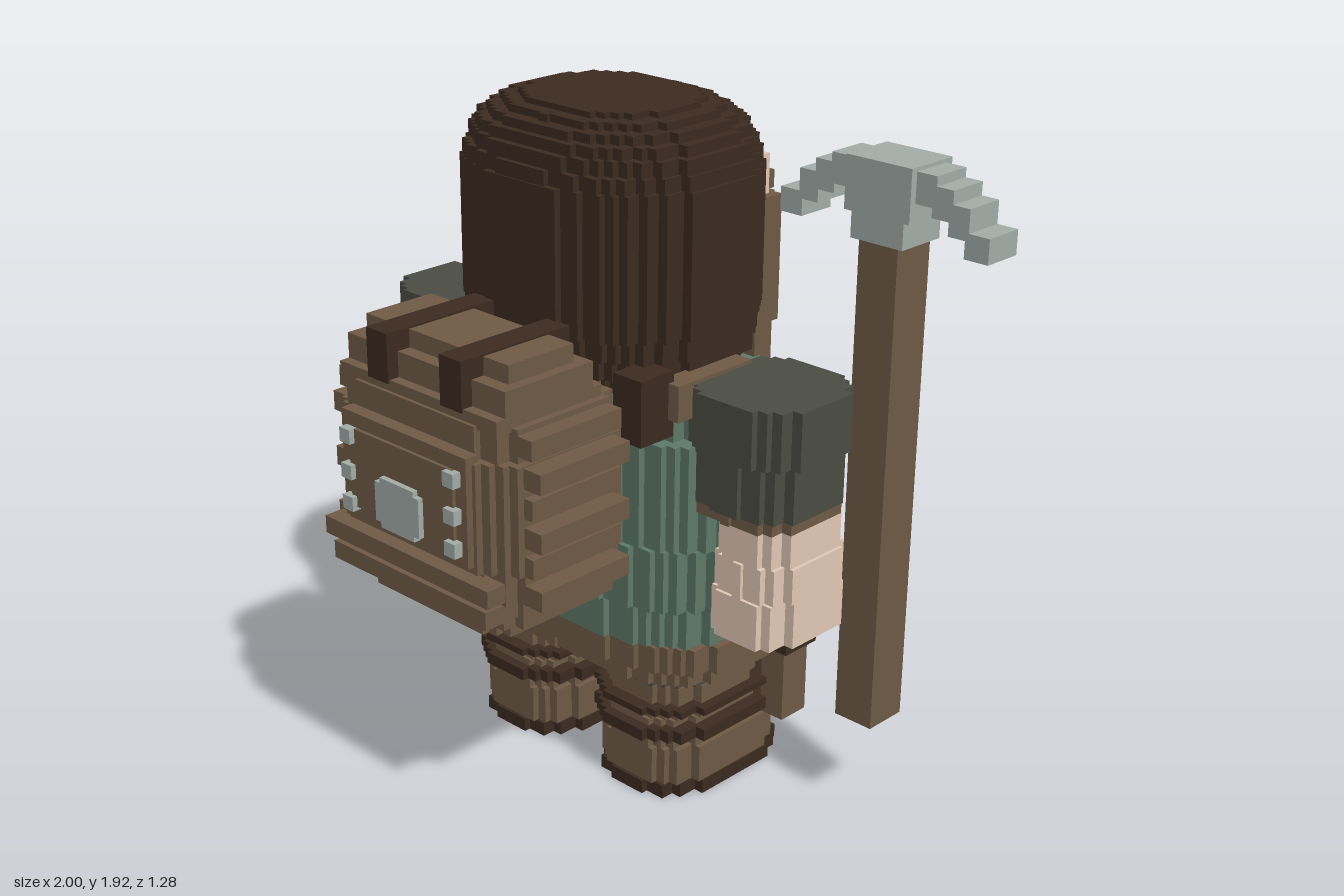
import * as THREE from 'three';
import { mergeGeometries } from 'three/addons/utils/BufferGeometryUtils.js';

const STEP = 0.03;
const CX = -0.1; // body centre line

const mat = (name, color) => {
  const m = new THREE.MeshStandardMaterial({ color });
  m.name = name;
  return m;
};

// One block given by its min/max extents
function block(x0, x1, y0, y1, z0, z1) {
  return new THREE.BoxGeometry(x1 - x0, y1 - y0, z1 - z0)
    .translate((x0 + x1) / 2, (y0 + y1) / 2, (z0 + z1) / 2);
}

// Stair-stepped superellipse slab; an optional clip cuts an opening in the front (-z)
function slab(cx, cz, rx, rz, y0, y1, p = 2.5, clip = null) {
  const n = Math.max(3, Math.round((2 * rx) / STEP));
  const w = (2 * rx) / n;
  const back = [], front = [];
  for (let i = 0; i < n; i++) {
    const xa = -rx + i * w, xm = xa + w / 2;
    const raw = rz * Math.pow(1 - Math.pow(Math.abs(xm / rx), p), 1 / p);
    const d = Math.max(STEP, Math.round(raw / STEP * 1.5) * STEP / 1.5);
    const dd = Math.min(d, rz);
    let f = cz - dd;
    if (clip && Math.abs(xm) < clip.half) f = Math.max(f, clip.z);
    back.push([xa, cz + dd], [xa + w, cz + dd]);
    front.push([xa, f], [xa + w, f]);
  }
  const pts = [...back, ...front.reverse()].map(([x, z]) => new THREE.Vector2(x, -z));
  const clean = pts.filter((q, i) => i === 0 || q.distanceTo(pts[i - 1]) > 1e-5);
  return new THREE.ExtrudeGeometry(new THREE.Shape(clean), { depth: y1 - y0, bevelEnabled: false })
    .rotateX(-Math.PI / 2).translate(cx, y0, 0);
}

// Layers: [y0, y1, rx, rz, cz?]
const stack = (cx, cz, layers, p, clip) =>
  layers.map(([y0, y1, rx, rz, z = cz]) => slab(cx, z, rx, rz, y0, y1, p, clip));

export function createModel() {
  const model = new THREE.Group();
  const hair = mat('darkBrown', 0x3c2b20), brown = mat('leatherBrown', 0x715b46);
  const green = mat('tunicGreen', 0x5e7a6a), grey = mat('darkGrey', 0x4b4d43);
  const skin = mat('skin', 0xe4cab6), metal = mat('metal', 0xa5aea9);
  const amber = mat('amberGlass', 0xe2a342);

  const add = (name, material, geos) => {
    const flat = geos.map(g => (g.index ? g.toNonIndexed() : g));
    const mesh = new THREE.Mesh(mergeGeometries(flat), material);
    mesh.name = name;
    model.add(mesh);
  };

  // Legs and boots
  for (const s of [-1, 1]) {
    const x = CX + s * 0.24, side = s > 0 ? 'left' : 'right';
    add(side + 'Sole', hair, [slab(x, -0.22, 0.18, 0.26, 0, 0.04)]);
    add(side + 'Boot', brown, stack(x, -0.21, [
      [0.04, 0.15, 0.175, 0.25], [0.15, 0.24, 0.16, 0.22, -0.19], [0.24, 0.34, 0.17, 0.2, -0.18]]));
    add(side + 'BootStraps', hair, stack(x, -0.2, [[0.185, 0.22, 0.2, 0.26], [0.265, 0.285, 0.2, 0.26]]));
    add(side + 'Trouser', grey, [slab(x, -0.16, 0.165, 0.18, 0.34, 0.4)]);
  }

  // Belt, buckle and hanging bits
  add('belt', brown, [...stack(CX, -0.17, [[0.38, 0.42, 0.47, 0.27], [0.42, 0.5, 0.49, 0.28]], 3),
    block(-0.14, -0.06, 0.3, 0.4, -0.42, -0.36)]);
  add('beltBuckle', metal, [block(-0.205, 0.005, 0.39, 0.5, -0.49, -0.44)]);
  add('beltPouch', brown, [block(-0.66, -0.52, 0.37, 0.54, -0.42, -0.2)]);
  add('toolHandle', brown, [block(0.32, 0.4, 0.17, 0.39, -0.42, -0.32)]);
  add('toolCollar', hair, [block(0.31, 0.415, 0.385, 0.425, -0.44, -0.31)]);
  add('toolHead', metal, [block(0.32, 0.4, 0.425, 0.48, -0.43, -0.33)]);

  // Tunic
  add('tunic', green, stack(CX, -0.16, [
    [0.5, 0.62, 0.47, 0.28], [0.62, 0.8, 0.5, 0.3], [0.8, 1.1, 0.52, 0.305, -0.175],
    [1.1, 1.2, 0.46, 0.26]], 3));

  // Arms
  for (const s of [-1, 1]) {
    const x = CX + s * 0.572, side = s > 0 ? 'left' : 'right';
    add(side + 'Sleeve', grey, stack(x, -0.14, [
      [0.95, 1.1, 0.17, 0.175], [1.1, 1.26, 0.187, 0.187]]));
    add(side + 'Cuff', brown, [slab(x, -0.14, 0.165, 0.17, 0.92, 0.95)]);
    add(side + 'Forearm', skin, stack(CX + s * 0.61, -0.15, [
      [0.82, 0.92, 0.12, 0.16], [0.72, 0.82, 0.13, 0.17], [0.59, 0.72, 0.13, 0.18, -0.16]]));
    add(side + 'Hand', skin, [block(CX + s * 0.61 - 0.07, CX + s * 0.61 + 0.07, 0.6, 0.74, -0.38, -0.28)]);
    // Pack strap over the shoulder
    const sx = CX + s * 0.4;
    add(side + 'ShoulderStrap', brown, [block(sx - 0.035, sx + 0.035, 1.17, 1.27, -0.22, 0.06)]);
  }

  // Hair: closed crown above, open at the face below
  add('hairCrown', hair, [...stack(CX, -0.14, [
    [1.905, 1.92, 0.24, 0.21], [1.885, 1.905, 0.29, 0.25], [1.86, 1.885, 0.33, 0.28],
    [1.83, 1.86, 0.36, 0.305], [1.79, 1.83, 0.38, 0.325], [1.75, 1.79, 0.39, 0.335]], 2.3),
  block(-0.28, 0.08, 1.745, 1.79, -0.5, -0.4)]);
  add('hairSides', hair, stack(CX, -0.14, [
    [1.36, 1.75, 0.4, 0.34], [1.3, 1.36, 0.39, 0.32], [1.25, 1.3, 0.38, 0.31], [1.1, 1.25, 0.3, 0.3]],
  2.3, { half: 0.29, z: -0.34 }));
  add('sideLocks', hair, [-1, 1].map(s => {
    const x = CX + s * 0.35;
    return block(x - 0.05, x + 0.05, 1.12, 1.3, 0.04, 0.16);
  }));

  // Face
  add('face', skin, [block(-0.38, 0.18, 1.36, 1.75, -0.45, -0.3),
    block(-0.3, 0.1, 1.45, 1.735, -0.495, -0.4)]);
  add('nose', skin, [block(-0.15, -0.05, 1.5, 1.57, -0.545, -0.45), block(-0.16, -0.04, 1.43, 1.52, -0.6, -0.45),
    block(-0.16, -0.04, 1.405, 1.45, -0.64, -0.55)]);
  add('brows', brown, [-1, 1].map(s => block(CX + s * 0.13 - 0.1, CX + s * 0.13 + 0.1, 1.63, 1.68, -0.53, -0.45)));
  add('eyes', hair, [-1, 1].map(s => block(CX + s * 0.13 - 0.05, CX + s * 0.13 + 0.05, 1.56, 1.63, -0.502, -0.494)));

  // Beard: ribbed columns, longest in the middle
  const beard = [];
  for (let i = -8; i <= 8; i++) {
    const t = Math.abs(i) / 8.5, x = CX + i * 0.036;
    const rib = i % 2 ? 0.012 : 0;
    const bottom = 0.665 + 0.4 * Math.pow(t, 3.6) + rib;
    const depth = -0.56 + 0.1 * Math.pow(t, 2.4) + rib;
    const top = Math.abs(i) > 6 ? 1.64 : 1.41;
    beard.push(block(x - 0.018, x + 0.018, bottom + 0.3, top, depth, -0.36),
      block(x - 0.018, x + 0.018, bottom + 0.13, bottom + 0.3, depth + 0.025, -0.38),
      block(x - 0.018, x + 0.018, bottom + 0.05, bottom + 0.13, depth + 0.055, -0.4),
      block(x - 0.018, x + 0.018, bottom, bottom + 0.05, depth + 0.09, -0.4));
  }
  add('beard', brown, beard);
  add('moustache', brown, [-1, 1].flatMap(s => [0, 1, 2].map(k => {
    const x = CX + s * (0.05 + k * 0.075);
    return block(x - 0.04, x + 0.04, 1.36 - k * 0.02, 1.43 - k * 0.015, -0.59 + k * 0.02, -0.45);
  })));
  add('mouth', hair, [block(-0.19, -0.01, 1.325, 1.36, -0.575, -0.55)]);

  // Backpack with bedrolls above and below
  add('packBody', brown, stack(CX, 0.35, [
    [0.78, 0.86, 0.34, 0.22], [0.86, 1.16, 0.34, 0.24], [1.16, 1.25, 0.32, 0.22]], 5));
  add('packFlap', brown, [block(-0.34, 0.14, 0.88, 1.18, 0.57, 0.61), block(-0.42, 0.22, 0.8, 0.85, 0.56, 0.62),
    block(-0.3, 0.1, 0.92, 1.14, 0.6, 0.62), block(-0.4, 0.2, 0.73, 0.78, 0.5, 0.61)]);
  add('lowerRoll', brown, stack(CX, 0.34, [[0.66, 0.7, 0.27, 0.2], [0.7, 0.78, 0.32, 0.22]], 5));
  add('upperRoll', brown, [block(-0.4, 0.2, 1.24, 1.28, 0.2, 0.56), block(-0.4, 0.2, 1.28, 1.35, 0.23, 0.53),
    block(-0.37, 0.17, 1.35, 1.4, 0.27, 0.49)]);
  add('rollStraps', hair, [-0.24, 0.04].map(x => block(x - 0.04, x + 0.04, 1.27, 1.405, 0.195, 0.565)));
  const ridges = [];
  for (const s of [-1, 1]) {
    for (let k = 0; k < 6; k++) {
      const y = 0.78 + k * 0.08, out = k % 2 ? 0.37 : 0.4;
      const x = CX + s * (out - 0.06);
      ridges.push(block(x - 0.06, x + 0.06, y, y + 0.055, 0.2, 0.51));
    }
  }
  add('packSidePockets', brown, ridges);
  add('packBuckle', metal, [block(-0.185, -0.015, 0.92, 1.03, 0.615, 0.636),
    block(-0.165, -0.035, 0.905, 1.045, 0.615, 0.636)]);
  add('packStuds', metal, [-0.3, 0.1].flatMap(x => [0.93, 1.02, 1.12].map(
    y => block(x - 0.02, x + 0.02, y - 0.02, y + 0.02, 0.605, 0.636))));

  // Pickaxe
  add('pickHandle', brown, [block(0.62, 0.74, 0.3, 1.66, -0.41, -0.28)]);
  const head = [block(0.58, 0.78, 1.72, 1.86, -0.425, -0.265), block(0.6, 0.76, 1.65, 1.72, -0.42, -0.27)];
  const arm = [[0.1, 0.16, 1.77, 1.85], [0.15, 0.21, 1.745, 1.825], [0.2, 0.26, 1.71, 1.79], [0.25, 0.32, 1.665, 1.73]];
  for (const [a, b, y0, y1] of arm) {
    head.push(block(0.68 + a, 0.68 + b, y0, y1, -0.4, -0.285), block(0.68 - b, 0.68 - a, y0, y1, -0.4, -0.285));
  }
  add('pickHead', metal, head);

  // Lantern: corner posts around recessed panes
  const lx = -0.82, lz = -0.345;
  const sq = (h, y0, y1) => block(lx - h, lx + h, y0, y1, lz - h, lz + h);
  add('lanternFoot', metal, [sq(0.16, 0.105, 0.15)]);
  add('lanternFrame', grey, [sq(0.178, 0.15, 0.225), sq(0.142, 0.225, 0.53), sq(0.178, 0.53, 0.585),
    sq(0.135, 0.585, 0.665), sq(0.06, 0.665, 0.765),
    ...[-0.13, 0.13].flatMap(a => [-0.13, 0.13].map(
      b => block(lx + a - 0.03, lx + a + 0.03, 0.225, 0.53, lz + b - 0.03, lz + b + 0.03)))]);
  const panes = [];
  for (let k = 0; k < 4; k++) {
    for (const o of [-0.059, 0.059]) {
      panes.push(block(o - 0.041, o + 0.041, 0.226, 0.529, 0.141, 0.15)
        .rotateY(k * Math.PI / 2).translate(lx, 0, lz));
    }
  }
  add('lanternPanes', amber, panes);
  add('lanternHandle', metal, [block(-0.92, -0.68, 0.765, 0.82, lz - 0.02, lz + 0.02)]);

  return model;
}
